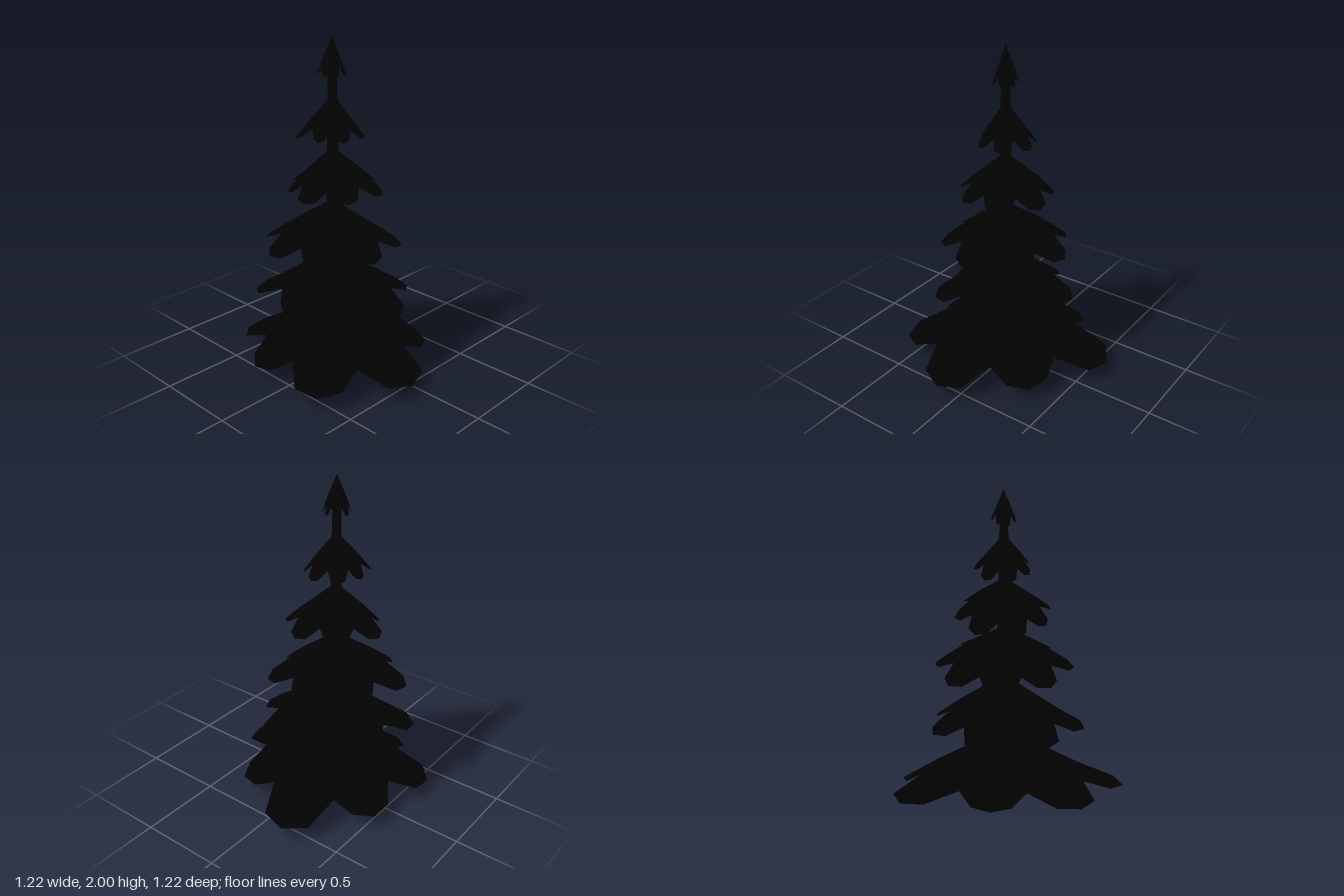
import * as THREE from 'three';

const STEP = (Math.PI * 2) / 7; // angle between branches

// Branch tiers from the ground up: base, height, angle of first branch, branch lengths
const TIERS = [
  [0.075, 0.325, -100.4, [0.69, 0.58, 0.67, 0.63, 0.54, 0.6, 0.555]],
  [0.42, 0.3, -8, [0.485, 0.45, 0.38, 0.49, 0.41, 0.43, 0.475]],
  [0.75, 0.28, 6.7, [0.385, 0.4, 0.41, 0.44, 0.4, 0.4, 0.41]],
  [1.095, 0.255, -25, [0.305, 0.28, 0.295, 0.265, 0.31, 0.29, 0.305]],
  [1.42, 0.24, -28, [0.19, 0.175, 0.165, 0.21, 0.175, 0.18, 0.19]],
  [1.77, 0.23, 30, [0.08, 0.075, 0.085, 0.08, 0.08, 0.075, 0.085]],
];

// Lobed surface with a centre point, a shoulder on every branch and a pointed rim.
// Heights are fractions of the tier height.
function skirtGeometry(lengths, start, height, centre, shoulder) {
  const count = lengths.length;
  const positions = [0, centre * height, 0];
  const index = [];
  const add = (radius, angle, y) =>
    positions.push(radius * Math.cos(angle), y * height, radius * Math.sin(angle));
  const at = (lobe, k) => 1 + ((lobe + count) % count) * 5 + k;

  lengths.forEach((length, i) => {
    const angle = start + i * STEP;
    const valley = 0.365 * (length + lengths[(i + 1) % count]);
    add(length * 0.66, angle, shoulder);
    add(length * 0.935, angle - 0.227, 0.07);
    add(length, angle, 0.02);
    add(length * 0.935, angle + 0.227, 0.07);
    add(valley, angle + STEP / 2, 0.27);

    const edge = [at(i - 1, 4), at(i, 1), at(i, 2), at(i, 3), at(i, 4)];
    for (let k = 0; k < 4; k++) index.push(at(i, 0), edge[k + 1], edge[k]);
    index.push(0, at(i, 0), edge[0], 0, edge[4], at(i, 0));
  });

  const geometry = new THREE.BufferGeometry();
  geometry.setAttribute('position', new THREE.Float32BufferAttribute(positions, 3));
  geometry.setIndex(index);
  geometry.computeVertexNormals();
  return geometry;
}

export function createModel() {
  const group = new THREE.Group();
  group.name = 'firTree';
  const bark = new THREE.MeshStandardMaterial({ color: 0x020202 });
  const needles = new THREE.MeshStandardMaterial({ color: 0x020202, side: THREE.DoubleSide });

  // Tapered trunk with a slightly wider foot
  const profile = [[0, 0], [0.066, 0], [0.05, 0.42], [0.043, 0.8], [0.037, 1.15], [0.031, 1.5], [0.025, 1.85], [0, 1.87]];
  const trunk = new THREE.Mesh(
    new THREE.LatheGeometry(profile.map(([x, y]) => new THREE.Vector2(x, y)), 10), bark);
  trunk.name = 'trunk';
  group.add(trunk);

  TIERS.forEach(([base, height, degrees, lengths], i) => {
    const tier = new THREE.Group();
    tier.name = `branchTier${i + 1}`;
    tier.position.y = base;
    const start = THREE.MathUtils.degToRad(degrees);
    const apex = i === TIERS.length - 1 ? 1 : 1.06;

    // Sloping top and the shallower underside that closes it
    const top = new THREE.Mesh(skirtGeometry(lengths, start, height, apex, 0.4), needles);
    top.name = 'branchTop';
    const underside = new THREE.Mesh(skirtGeometry(lengths, start, height, 0.52, 0.31), needles);
    underside.name = 'branchUnderside';
    tier.add(top, underside);
    group.add(tier);
  });

  // The trunk stands off centre because the lowest branches differ in length
  group.children.forEach((part) => {
    part.position.x = -0.06;
    part.position.z = 0.07;
  });
  return group;
}
